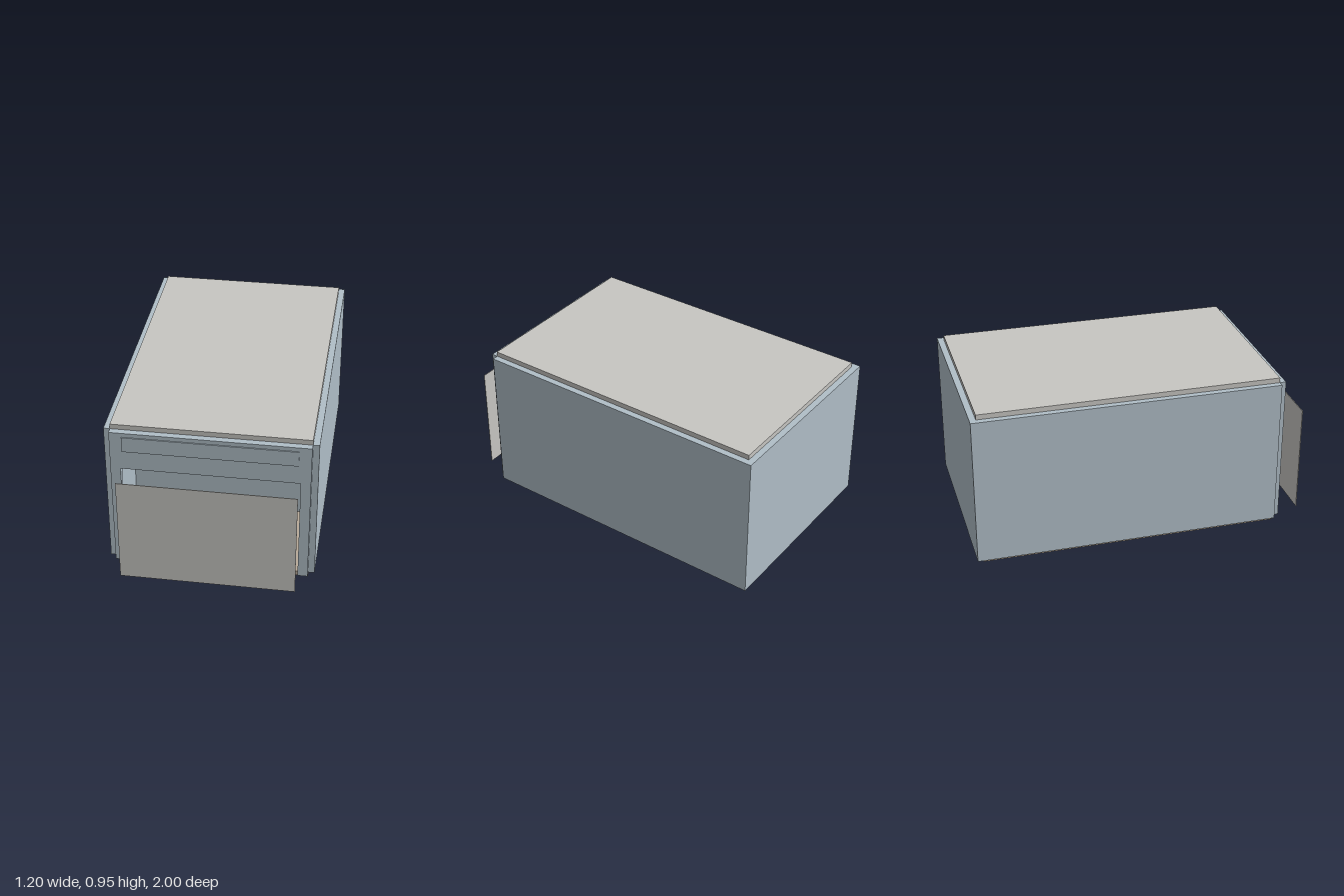
import * as THREE from 'three';

const material = (name, color) => {
  const m = new THREE.MeshStandardMaterial({ color });
  m.name = name;
  return m;
};

export function createModel() {
  const group = new THREE.Group();
  const blue = material('pale blue', 0xb0bec7);
  const grey = material('warm grey', 0xc7c6c2);
  const tan = material('floor tan', 0xb8aa99);

  // Box given by its lower and upper limits on each axis
  const slab = (name, mat, [x0, x1], [y0, y1], [z0, z1]) => {
    const mesh = new THREE.Mesh(new THREE.BoxGeometry(x1 - x0, y1 - y0, z1 - z0), mat);
    mesh.position.set((x0 + x1) / 2, (y0 + y1) / 2, (z0 + z1) / 2);
    mesh.name = name;
    group.add(mesh);
  };

  const outer = 0.6, inner = 0.563;
  const back = -0.963, front = 0.817;
  const wallY = [0.03, 0.922];

  // Floor and roof sit inside the outline of the walls
  slab('floor', tan, [-inner, inner], [0, 0.03], [back, front]);
  slab('roof', grey, [-inner, inner], [0.922, 0.952], [back, front]);

  // Side and back walls
  slab('leftWall', blue, [inner, outer], wallY, [back, front]);
  slab('rightWall', blue, [-outer, -inner], wallY, [back, front]);
  slab('backWall', blue, [-outer, outer], wallY, [-1, back]);

  // Front wall with a doorway open down to the floor
  const doorX = 0.505, doorTop = 0.685;
  const shape = new THREE.Shape([
    [-inner, 0.03], [-doorX, 0.03], [-doorX, doorTop], [doorX, doorTop],
    [doorX, 0.03], [inner, 0.03], [inner, 0.922], [-inner, 0.922],
  ].map(([x, y]) => new THREE.Vector2(x, y)));
  const frontWall = new THREE.Mesh(
    new THREE.ExtrudeGeometry(shape, { depth: 0.038, bevelEnabled: false }), blue);
  frontWall.position.z = front;
  frontWall.name = 'frontWall';
  group.add(frontWall);

  // Thin plate above the doorway and the door panel standing clear of it
  slab('headerPlate', blue, [-0.493, 0.493], [0.803, 0.897], [0.855, 0.861]);
  slab('doorPanel', grey, [-doorX, doorX], [0.03, doorTop], [0.996, 1]);

  // Raised platform inside, with a slightly overhanging top
  slab('platformBase', blue, [-inner, inner], [0.03, 0.295], [back, 0.25]);
  slab('platformTop', blue, [-inner, inner], [0.295, 0.32], [back, 0.262]);

  return group;
}
